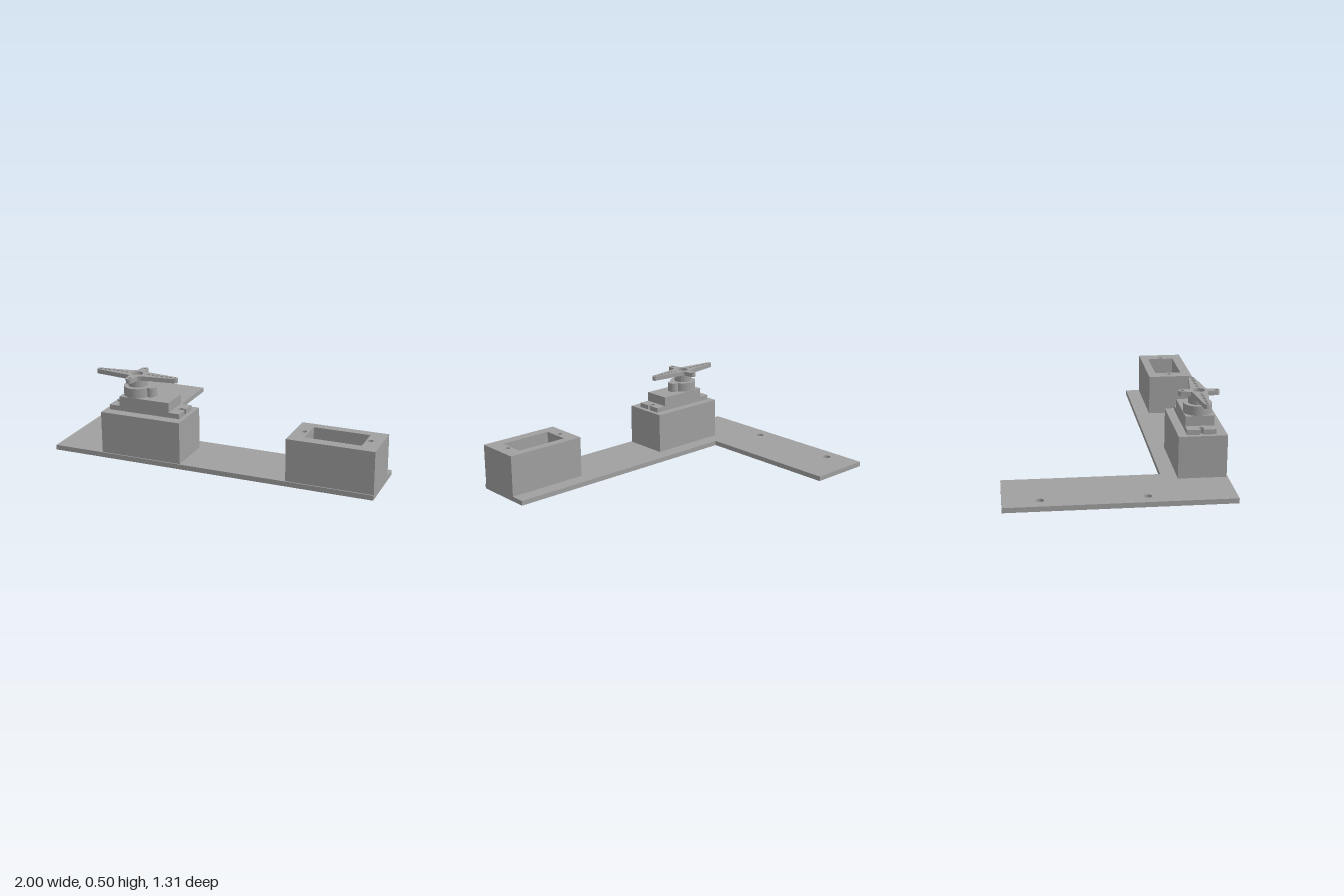
import * as THREE from 'three';

const grey = new THREE.MeshStandardMaterial({ color: 0xa0a0a0 });
grey.name = 'plain grey';

// Closed outline from [x, z] points
function outline(points) {
  return new THREE.Shape(points.map(([x, z]) => new THREE.Vector2(x, -z)));
}

function rect(x0, x1, z0, z1) {
  return outline([[x0, z1], [x1, z1], [x1, z0], [x0, z0]]);
}

function drill(shape, x, z, r) {
  shape.holes.push(new THREE.Path().absarc(x, -z, r, 0, Math.PI * 2, true));
}

// Plan shape raised from y0 to y1
function slab(name, shape, y0, y1) {
  const geometry = new THREE.ExtrudeGeometry(shape, { depth: y1 - y0, bevelEnabled: false, curveSegments: 10 });
  geometry.rotateX(-Math.PI / 2);
  geometry.translate(0, y0, 0);
  const mesh = new THREE.Mesh(geometry, grey);
  mesh.name = name;
  return mesh;
}

function cylinder(name, x, z, r, y0, y1) {
  const mesh = new THREE.Mesh(new THREE.CylinderGeometry(r, r, y1 - y0, 32), grey);
  mesh.position.set(x, (y0 + y1) / 2, z);
  mesh.name = name;
  return mesh;
}

// Holder block with a rectangular pocket and two screw holes
function holder(name, x, width) {
  const shape = rect(x, x + width, 0.363, 0.648);
  shape.holes.push(rect(x + 0.087, x + 0.422, 0.415, 0.585));
  drill(shape, x + 0.058, 0.5, 0.016);
  drill(shape, x + 0.447, 0.5, 0.016);
  return slab(name, shape, 0.03, 0.285);
}

// Four-armed horn: two long tapered arms and two short ones
function horn(cx, cz) {
  const shape = new THREE.Shape();
  const y = -cz;
  shape.moveTo(cx + 0.045, y - 0.044);
  shape.lineTo(cx + 0.245, y - 0.018);
  shape.absarc(cx + 0.247, y, 0.018, -Math.PI / 2, Math.PI / 2, false);
  shape.lineTo(cx + 0.045, y + 0.044);
  shape.lineTo(cx + 0.028, y + 0.05);
  shape.lineTo(cx + 0.022, y + 0.1);
  shape.absarc(cx, y + 0.1, 0.022, 0, Math.PI, false);
  shape.lineTo(cx - 0.028, y + 0.05);
  shape.lineTo(cx - 0.045, y + 0.044);
  shape.lineTo(cx - 0.245, y + 0.018);
  shape.absarc(cx - 0.247, y, 0.018, Math.PI / 2, Math.PI * 1.5, false);
  shape.lineTo(cx - 0.045, y - 0.044);
  shape.lineTo(cx - 0.028, y - 0.05);
  shape.lineTo(cx - 0.022, y - 0.1);
  shape.absarc(cx, y - 0.1, 0.022, Math.PI, Math.PI * 2, false);
  shape.lineTo(cx + 0.028, y - 0.05);
  drill(shape, cx, cz, 0.035);
  for (const side of [-1, 1]) {
    for (let i = 0; i < 7; i++) drill(shape, cx + side * (0.072 + i * 0.029), cz, 0.0105);
    drill(shape, cx, cz + side * 0.1, 0.011);
  }
  return slab('horn', shape, 0.478, 0.505);
}

export function createModel() {
  const model = new THREE.Group();

  // L-shaped base plate with two mounting holes
  const base = outline([[-1, 0.655], [1, 0.655], [1, 0.272], [-0.602, 0.272], [-0.602, -0.655], [-1, -0.655]]);
  drill(base, -0.915, -0.445, 0.024);
  drill(base, -0.915, 0.155, 0.024);
  model.add(slab('basePlate', base, 0, 0.03));

  model.add(holder('motorHolder', -0.683, 0.51), holder('emptyHolder', 0.483, 0.517));

  // Motor body, stepped above the holder
  const motor = new THREE.Group();
  motor.name = 'motor';
  const cx = -0.507, cz = 0.5;
  motor.add(slab('motorBody', rect(-0.59, -0.268, 0.415, 0.585), 0.04, 0.375));

  // Mounting ears with open screw slots
  for (const side of [-1, 1]) {
    const hole = side < 0 ? -0.63 : -0.23;
    const end = side < 0 ? -0.657 : -0.2;
    const inner = side < 0 ? -0.59 : -0.268;
    const ear = new THREE.Shape();
    ear.moveTo(inner, -0.415);
    ear.lineTo(end, -0.415);
    ear.lineTo(end, -cz + 0.009);
    ear.lineTo(hole + side * 0.013, -cz + 0.009);
    if (side > 0) ear.absarc(hole, -cz, 0.016, 0.6, Math.PI * 2 - 0.6, false);
    else ear.absarc(hole, -cz, 0.016, Math.PI - 0.6, Math.PI + 0.6, true);
    ear.lineTo(end, -cz - 0.009);
    ear.lineTo(end, -0.585);
    ear.lineTo(inner, -0.585);
    motor.add(slab('mountingEar', ear, 0.285, 0.315));
  }

  // Gear housing, output shaft and horn
  motor.add(cylinder('gearHousing', cx, cz, 0.084, 0.375, 0.432));
  motor.add(cylinder('smallGearHousing', -0.42, cz, 0.035, 0.375, 0.432));
  const hub = new THREE.Shape().absarc(cx, -cz, 0.056, 0, Math.PI * 2, false);
  drill(hub, cx, cz, 0.035);
  motor.add(slab('hornHub', hub, 0.432, 0.478));
  const shaft = new THREE.Shape().absarc(cx, -cz, 0.035, 0, Math.PI * 2, false);
  drill(shaft, cx, cz, 0.016);
  motor.add(slab('outputShaft', shaft, 0.432, 0.485));
  motor.add(horn(cx, 0.505));
  model.add(motor);

  return model;
}
